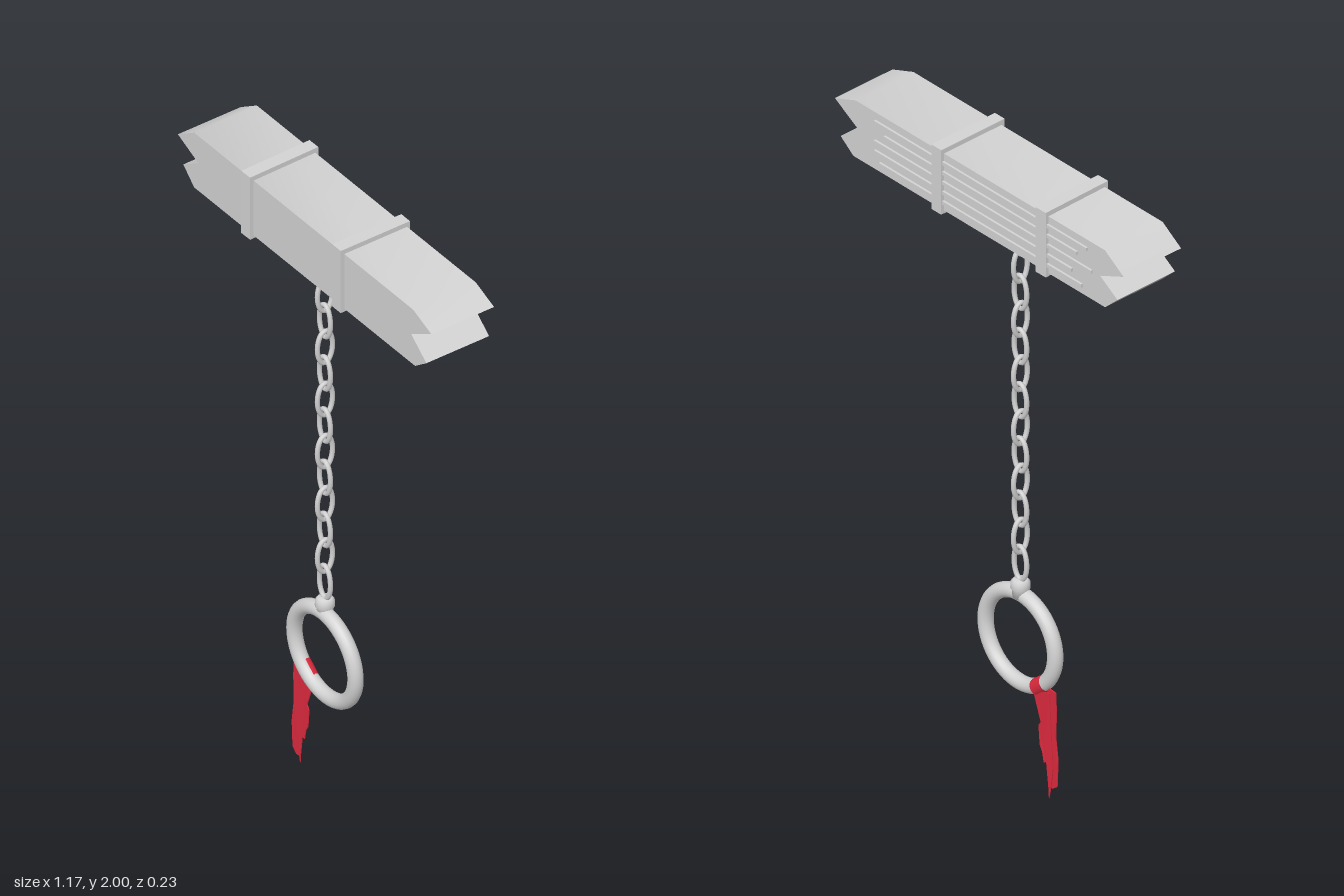
import * as THREE from 'three';
import { toCreasedNormals } from 'three/addons/utils/BufferGeometryUtils.js';

export function createModel() {
  const model = new THREE.Group();
  const metal = new THREE.MeshStandardMaterial({ color: 0xd2d2d2 });
  metal.name = 'grey metal';
  const red = new THREE.MeshStandardMaterial({ color: 0xdc2a3e, side: THREE.DoubleSide });
  red.name = 'red cloth';

  const add = (name, geometry, material, x = 0, y = 0, z = 0, parent = model) => {
    const mesh = new THREE.Mesh(geometry, material);
    mesh.name = name;
    mesh.position.set(x, y, z);
    parent.add(mesh);
    return mesh;
  };
  const outline = (pts) => new THREE.Shape(pts.map(([x, y]) => new THREE.Vector2(x, y)));

  // Beam with notched ends, softly shaded round the ends
  const beam = new THREE.ExtrudeGeometry(outline([
    [-0.51, 1.8], [0.51, 1.8], [0.562, 1.84], [0.492, 1.897], [0.585, 1.952], [0.5, 1.985],
    [-0.51, 1.985], [-0.585, 1.935], [-0.49, 1.893], [-0.56, 1.848],
  ]), { depth: 0.212, bevelEnabled: false });
  add('beam', toCreasedNormals(beam, 1.2), metal, 0, 0, -0.109);

  // Thin strips along the back of the beam
  [[-0.42, 0.4], [-0.38, 0.42], [-0.46, 0.42], [-0.4, 0.38], [-0.44, 0.42]].forEach(([a, b], i) => {
    add('backStrip', new THREE.BoxGeometry(b - a, 0.011, 0.008), metal, (a + b) / 2, 1.828 + i * 0.032, -0.112);
  });

  // Rectangular bands strapped round the beam
  for (const [x, tilt] of [[-0.258, 0.02], [0.163, 0]]) {
    const band = new THREE.Group();
    band.name = 'band';
    band.position.set(x, 1.895, -0.002);
    band.rotation.y = tilt;
    for (const s of [-1, 1]) {
      add('bandAcross', new THREE.BoxGeometry(0.04, 0.018, 0.234), metal, 0, s * 0.096, 0, band);
      add('bandUpright', new THREE.BoxGeometry(0.04, 0.192, 0.012), metal, 0, 0, s * 0.111, band);
    }
    model.add(band);
  }

  // Chain hanger with its two cheeks
  const cx = -0.047;
  add('hanger', new THREE.BoxGeometry(0.05, 0.045, 0.036), metal, cx, 1.785, 0);
  for (const s of [-1, 1]) {
    add('hangerCheek', new THREE.BoxGeometry(0.05, 0.08, 0.007), metal, cx, 1.757, s * 0.0145);
  }

  // Chain of oval links, each turned a quarter from the last
  const oval = new THREE.EllipseCurve(0, 0, 0.0255, 0.0535).getPoints(24).slice(0, 24)
    .map((p) => new THREE.Vector3(p.x, p.y, 0));
  const link = new THREE.TubeGeometry(new THREE.CatmullRomCurve3(oval, true), 32, 0.0073, 8, true);
  for (let i = 0; i < 13; i++) {
    add('chainLink', link, metal, cx, 1.755 - i * 0.0882, 0).rotation.y = (i % 2) * Math.PI / 2;
  }

  // Ring, hanging slightly tilted, and the collar holding it
  const ringY = 0.453, ringR = 0.141;
  add('ring', new THREE.TorusGeometry(ringR, 0.0225, 16, 64), metal, cx, ringY, 0).rotation.x = 0.025;
  const collar = [[0, -0.03], [0.022, -0.03], [0.024, -0.004], [0.028, 0],
    [0.027, 0.018], [0.02, 0.026], [0, 0.028]];
  add('collar', new THREE.LatheGeometry(collar.map(([x, y]) => new THREE.Vector2(x, y)), 20),
    metal, cx, 0.618, 0);

  // Torn cloth: two ragged tails, gently rippled in depth
  const ragged = (pts, z, slope) => {
    const g = new THREE.ExtrudeGeometry(outline(pts), { depth: 0.003, bevelEnabled: false });
    const p = g.attributes.position;
    for (let i = 0; i < p.count; i++) {
      const x = p.getX(i), y = p.getY(i);
      p.setZ(i, p.getZ(i) + z + slope * (0.35 - y) + 0.001 * Math.sin(x * 70 + y * 18));
    }
    g.computeVertexNormals();
    return g;
  };
  add('clothFront', ragged([
    [-0.2, 0.35], [-0.202, 0.29], [-0.198, 0.2], [-0.207, 0.13], [-0.204, 0.045], [-0.185, 0.03],
    [-0.167, 0.034], [-0.16, 0.105], [-0.15, 0.1], [-0.145, 0.13], [-0.134, 0.15],
    [-0.128, 0.21], [-0.137, 0.225], [-0.125, 0.26], [-0.112, 0.305], [-0.108, 0.322],
    [-0.14, 0.345], [-0.165, 0.352],
  ], -0.009, 0.005), red);
  add('clothBack', ragged([
    [-0.185, 0.345], [-0.19, 0.22], [-0.196, 0.1], [-0.186, 0.03], [-0.18, 0],
    [-0.178, 0.03], [-0.172, 0.08], [-0.165, 0.17], [-0.15, 0.27], [-0.125, 0.33],
  ], -0.019, 0.008), red);

  // Cloth folded over the back of the ring
  const a = Math.PI * 1.28;
  const wrap = new THREE.CylinderGeometry(0.025, 0.025, 0.05, 14, 1, true, Math.PI / 2, Math.PI);
  add('clothWrap', wrap, red, cx + ringR * Math.cos(a), ringY + ringR * Math.sin(a), -0.002).rotation.z = a;

  return model;
}
